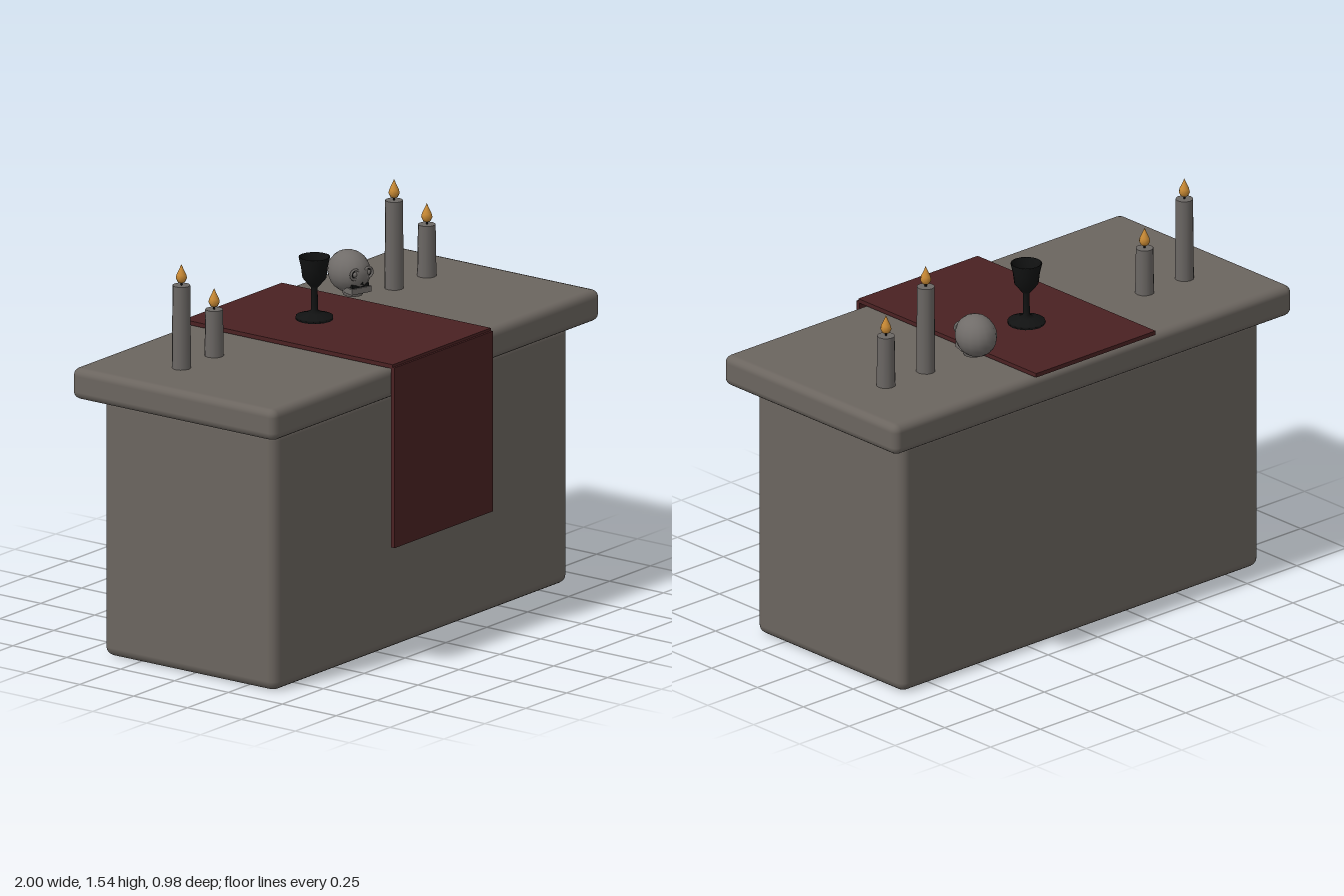
import * as THREE from 'three';
import { RoundedBoxGeometry } from 'three/addons/geometries/RoundedBoxGeometry.js';

const mat = (name, color, side = THREE.FrontSide) => {
  const m = new THREE.MeshStandardMaterial({ color, side });
  m.name = name;
  return m;
};

export function createModel() {
  const stone = mat('stone', 0x6b655f);
  const cloth = mat('dark red cloth', 0x4a2122);
  const wax = mat('grey wax', 0x6b6764);
  const bone = mat('grey bone', 0x706c69);
  const black = mat('black metal', 0x111212, THREE.DoubleSide);
  const amber = mat('amber flame', 0xc98a35);

  const model = new THREE.Group();
  model.name = 'altar';
  const add = (parent, name, geometry, material, x = 0, y = 0, z = 0) => {
    const mesh = new THREE.Mesh(geometry, material);
    mesh.name = name;
    mesh.position.set(x, y, z);
    parent.add(mesh);
    return mesh;
  };
  const lathe = (points, sides) =>
    new THREE.LatheGeometry(points.map(([r, y]) => new THREE.Vector2(r, y)), sides);

  // Stone block and overhanging slab
  add(model, 'base', new RoundedBoxGeometry(1.8, 1, 0.8, 2, 0.035), stone, 0, 0.502, -0.01);
  add(model, 'slab', new RoundedBoxGeometry(2, 0.12, 0.945, 2, 0.03), stone, 0, 1.062, -0.01);
  // Narrow dark strip below the slab, behind the cloth
  add(model, 'underStrip', new THREE.BoxGeometry(0.63, 0.02, 0.02), black, 0, 0.993, 0.382);

  // Runner on top and its front drop
  add(model, 'runnerTop', new THREE.BoxGeometry(0.6, 0.016, 0.97), cloth, 0, 1.133, -0.004);
  add(model, 'runnerDrop', new THREE.BoxGeometry(0.6, 0.695, 0.016), cloth, 0, 0.783, 0.482);

  // Candles: x position and height of the wax
  for (const [x, h] of [[-0.75, 0.32], [-0.55, 0.18], [0.55, 0.34], [0.75, 0.2]]) {
    const candle = new THREE.Group();
    candle.name = 'candle';
    candle.position.set(x, 1.12, -0.158);
    add(candle, 'wax', new THREE.CylinderGeometry(0.033, 0.036, h, 12), wax, 0, h / 2, 0);
    add(candle, 'wick', new THREE.CylinderGeometry(0.004, 0.004, 0.02, 6), black, 0, h + 0.008, 0);
    add(candle, 'flame', lathe([[0, 0], [0.014, 0.006], [0.021, 0.02], [0.018, 0.034],
      [0.008, 0.055], [0, 0.074]], 10), amber, 0, h + 0.007, 0);
    model.add(candle);
  }

  // Goblet with hollow cup
  add(model, 'goblet', lathe([[0, 0], [0.07, 0], [0.07, 0.012], [0.03, 0.024], [0.013, 0.035],
    [0.012, 0.12], [0.022, 0.132], [0.045, 0.16], [0.05, 0.2], [0.059, 0.24],
    [0.054, 0.24], [0.045, 0.2], [0.038, 0.165], [0, 0.145]], 16), black, 0, 1.141, -0.11);

  // Skull turned slightly to its right
  const skull = new THREE.Group();
  skull.name = 'skull';
  skull.position.set(0.35, 1.225, -0.215);
  skull.rotation.y = -0.3;
  model.add(skull);
  const cranium = add(skull, 'cranium', new THREE.SphereGeometry(0.08, 16, 12), bone);
  cranium.scale.set(0.95, 1, 1.13);
  for (const s of [-1, 1]) {
    add(skull, 'eyeRim', new THREE.TorusGeometry(0.019, 0.005, 6, 14), bone, s * 0.03, 0.008, 0.08);
    const socket = add(skull, 'eyeSocket', new THREE.SphereGeometry(0.016, 10, 8), black, s * 0.03, 0.008, 0.074);
    socket.scale.z = 0.5;
    add(skull, 'eyeball', new THREE.SphereGeometry(0.011, 10, 8), bone, s * 0.03, 0.008, 0.076);
  }
  add(skull, 'nose', new THREE.ConeGeometry(0.009, 0.02, 3), black, 0, -0.023, 0.082);
  add(skull, 'mouth', new THREE.BoxGeometry(0.075, 0.016, 0.05), black, 0, -0.042, 0.05);
  add(skull, 'teeth', new THREE.BoxGeometry(0.09, 0.022, 0.05), bone, 0, -0.058, 0.055);
  add(skull, 'jaw', new THREE.CylinderGeometry(0.046, 0.036, 0.03, 12), bone, 0, -0.07, 0.025);

  return model;
}
